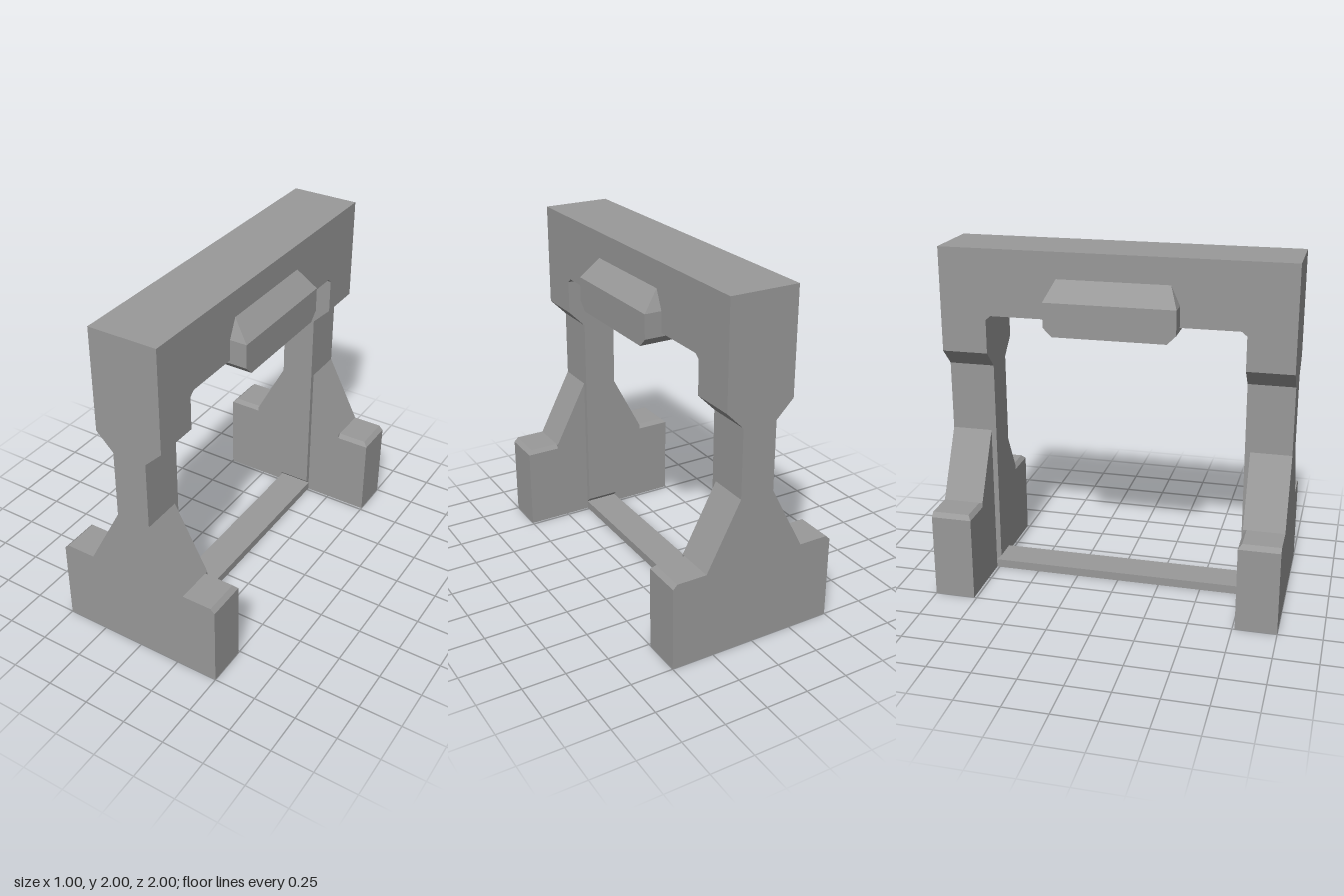
import * as THREE from 'three';
import { ConvexGeometry } from 'three/addons/geometries/ConvexGeometry.js';

const toShape = (points) => new THREE.Shape(points.map(([x, y]) => new THREE.Vector2(x, y)));

// Mirror a right-hand outline [x, y] (bottom to top) across x = 0
const mirrored = (half) => [...half, ...half.map(([x, y]) => [-x, y]).reverse()];

// Front outline [x, y] swept from z0 to z1
function sweepZ(points, z0, z1) {
  const geo = new THREE.ExtrudeGeometry(toShape(points), { depth: z1 - z0, bevelEnabled: false });
  return geo.translate(0, 0, z0);
}

// Side outline [z, y] swept across a width centred on x = 0
function sweepX(points, width) {
  const geo = new THREE.ExtrudeGeometry(toShape(points), { depth: width, bevelEnabled: false });
  return geo.translate(0, 0, -width / 2).rotateY(-Math.PI / 2);
}

const hull = (points) => new ConvexGeometry(points.map((p) => new THREE.Vector3(...p)));

export function createModel() {
  const model = new THREE.Group();
  model.name = 'frame';
  const grey = new THREE.MeshStandardMaterial({ color: 0x999999 });
  grey.name = 'grey';

  const add = (parent, name, geometry) => {
    const mesh = new THREE.Mesh(geometry, grey);
    mesh.name = name;
    parent.add(mesh);
  };

  // Top beam with its downturned ends and chamfered inner corners
  add(model, 'topBeam', sweepX([
    [-1, 1.4], [-0.735, 1.4], [-0.735, 1.595], [-0.705, 1.62],
    [0.705, 1.62], [0.735, 1.595], [0.735, 1.4], [1, 1.4], [1, 2], [-1, 2],
  ], 0.4));

  // Chamfered block under the middle of the beam
  const block = [];
  for (const sx of [-1, 1]) for (const sz of [-1, 1]) {
    for (const [x, y, z] of [[0.2, 1.85, 0.32], [0.3, 1.74, 0.37], [0.3, 1.6, 0.37], [0.3, 1.55, 0.32]]) {
      block.push([sx * x, y, sz * z]);
    }
  }
  add(model, 'centreBlock', hull(block));

  // Thin bar joining the feet
  add(model, 'bottomBar', new THREE.BoxGeometry(0.2, 0.05, 1.54).translate(0, 0.025, 0));

  // Two identical legs, one turned to face the other way
  for (const [name, turn] of [['frontLeg', 0], ['backLeg', Math.PI]]) {
    const leg = new THREE.Group();
    leg.name = name;
    leg.rotation.y = turn;
    model.add(leg);

    // Flared lower leg
    add(leg, 'flare', sweepZ(mirrored([[0.3, 0], [0.3, 0.515], [0.1, 0.9], [0.1, 1.3]]), 0.765, 1));
    // Widening below the beam
    add(leg, 'neck', sweepZ(mirrored([[0.1, 1.3], [0.2, 1.4]]), 0.735, 1));
    // Inner rib, chamfered at the bottom
    add(leg, 'innerRib', sweepX([
      [0.765, 0.05], [0.8, 0.05], [0.8, 1.3], [0.735, 1.3], [0.735, 0.08],
    ], 0.2));

    // Feet chamfered on the outer and inner top edges
    for (const s of [-1, 1]) {
      const foot = [];
      for (const y of [0, 0.49]) {
        for (const x of [0.3, 0.5]) for (const z of [0.765, 1]) foot.push([s * x, y, z]);
      }
      for (const x of [0.3, 0.475]) for (const z of [0.785, 1]) foot.push([s * x, 0.515, z]);
      add(leg, s > 0 ? 'leftFoot' : 'rightFoot', hull(foot));
    }
  }
  return model;
}
